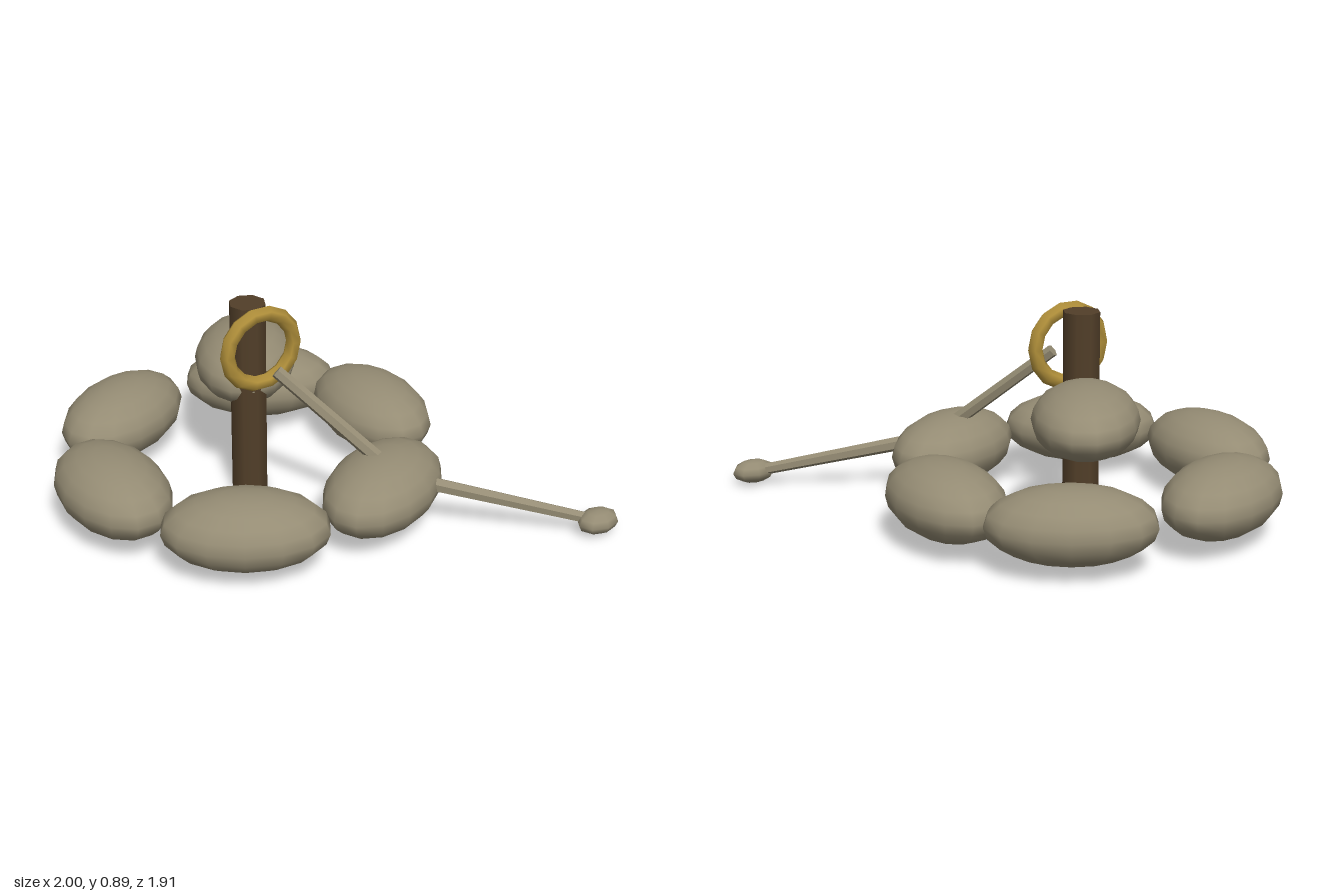
import * as THREE from 'three';

export function createModel() {
  const model = new THREE.Group();
  const stone = new THREE.MeshStandardMaterial({ color: 0x958c74 });
  const wood = new THREE.MeshStandardMaterial({ color: 0x523f29 });
  const gold = new THREE.MeshStandardMaterial({ color: 0xb08f3a });
  const rod = new THREE.MeshStandardMaterial({ color: 0x958c74, flatShading: true });

  function add(name, geometry, material, x, y, z) {
    const mesh = new THREE.Mesh(geometry, material);
    mesh.name = name;
    mesh.position.set(x, y, z);
    model.add(mesh);
    return mesh;
  }

  // Flattened boulder, long along its own z before turning
  function boulder(name, x, y, z, radii, turn, sides = 14, rings = 10) {
    const mesh = add(name, new THREE.SphereGeometry(1, sides, rings), stone, x, y, z);
    mesh.scale.set(...radii);
    mesh.rotation.y = turn;
  }

  // Straight thin rod between two points
  function stick(name, from, to, r0, r1) {
    const a = new THREE.Vector3(...from), b = new THREE.Vector3(...to);
    const dir = b.clone().sub(a), mid = a.clone().add(b).multiplyScalar(0.5);
    const mesh = add(name, new THREE.CylinderGeometry(r1, r0, dir.length(), 6), rod, mid.x, mid.y, mid.z);
    mesh.quaternion.setFromUnitVectors(new THREE.Vector3(0, 1, 0), dir.normalize());
  }

  // Ring of six boulders lying along the circle: x, z of each, starting at the left side
  const ring = [[0.495, -0.2], [0.165, 0.395], [-0.47, 0.385], [-0.785, -0.155], [-0.475, -0.705], [0.21, -0.69]];
  ring.forEach(([x, z], i) =>
    boulder('ringBoulder' + (i + 1), x, 0.193, z, [0.217, 0.152, 0.34], -i * Math.PI / 3));

  // Raised boulder leaning behind the post
  boulder('upperBoulder', -0.027, 0.495, -0.395, [0.217, 0.14, 0.34], -0.55);

  // Central post
  add('post', new THREE.CylinderGeometry(0.077, 0.077, 0.87, 8), wood, -0.145, 0.435, -0.16);

  // Hoop on the front of the post
  add('hoop', new THREE.TorusGeometry(0.154, 0.033, 6, 14), gold, -0.143, 0.705, -0.057);

  // Rods growing from the front boulder, one ending in a knob
  stick('upperRod', [0.17, 0.3, 0.385], [-0.14, 0.655, 0.065], 0.03, 0.027);
  stick('lowerRod', [0.345, 0.205, 0.505], [0.9, 0.055, 0.875], 0.031, 0.024);
  boulder('knob', 0.9, 0.056, 0.88, [0.095, 0.05, 0.07], 0, 8, 6);

  return model;
}
